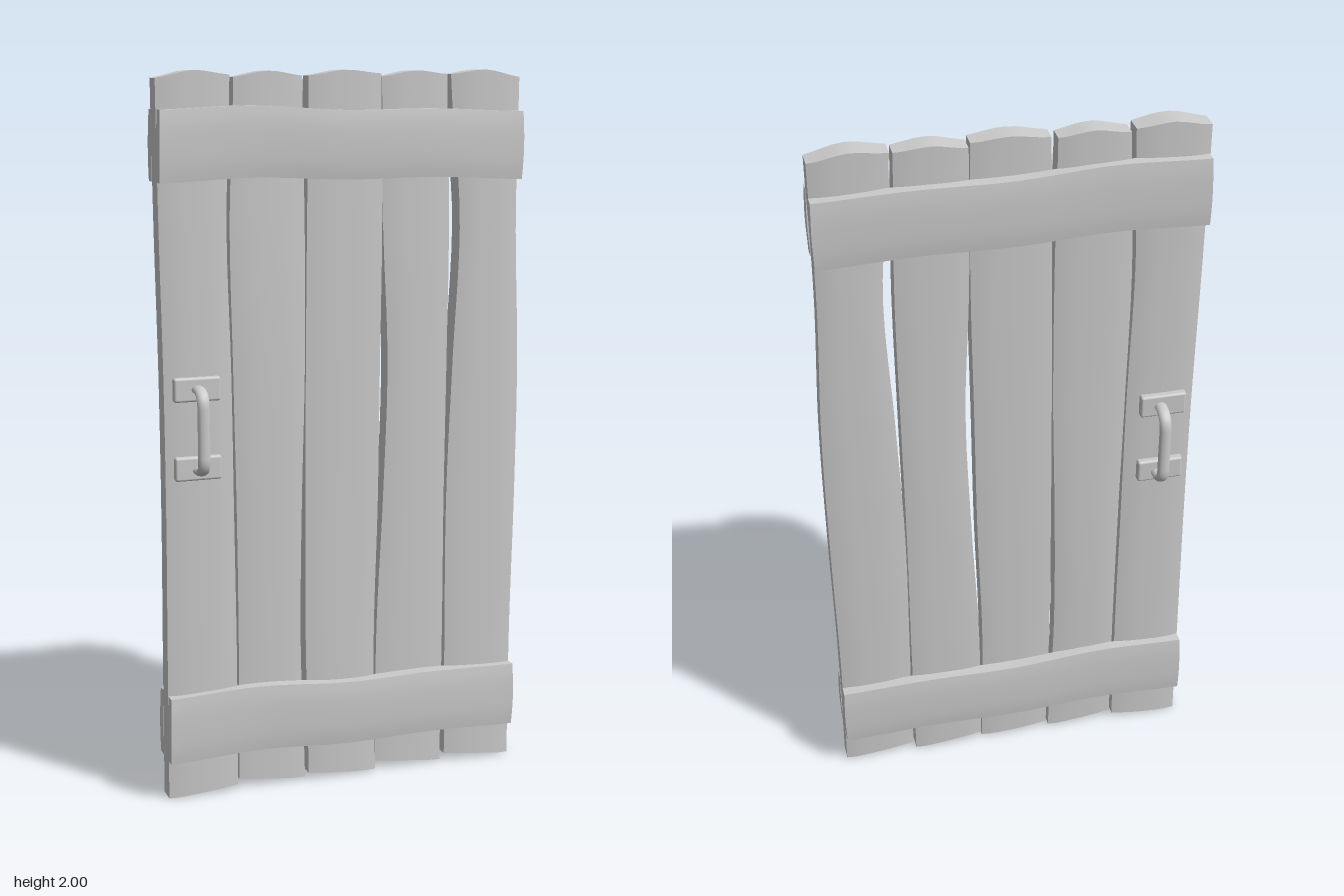
import * as THREE from 'three';
import { mergeVertices, toCreasedNormals } from 'three/addons/utils/BufferGeometryUtils.js';
import { RoundedBoxGeometry } from 'three/addons/geometries/RoundedBoxGeometry.js';

const material = new THREE.MeshStandardMaterial({ color: 0xcccccc });

// Smooth curve through evenly spaced values, sampled at t in 0..1
function profile(values) {
  const curve = new THREE.SplineCurve(values.map((v, i) => new THREE.Vector2(i, v)));
  return t => curve.getPoint(t).y;
}

function mesh(name, geometry) {
  const m = new THREE.Mesh(geometry, material);
  m.name = name;
  return m;
}

// Rough-hewn board: start/end shape its two ends, lo/hi its long edges,
// back/front its faces along the length. Faces bulge slightly across the width.
function board(name, vertical, { start, end, lo, hi, back, front }) {
  const [s, e, l, h, b, f] = [start, end, lo, hi, back, front].map(profile);
  let g = vertical ? new THREE.BoxGeometry(1, 1, 1, 8, 28, 2) : new THREE.BoxGeometry(1, 1, 1, 28, 8, 2);
  g.deleteAttribute('normal');
  g.deleteAttribute('uv');
  g = mergeVertices(g);
  const p = g.attributes.position;
  for (let i = 0; i < p.count; i++) {
    const x = p.getX(i) + 0.5, y = p.getY(i) + 0.5, z = p.getZ(i) + 0.5;
    const t = vertical ? y : x, w = vertical ? x : y;
    const along = THREE.MathUtils.lerp(s(w), e(w), t);
    const across = THREE.MathUtils.lerp(l(t), h(t), w);
    const mid = (b(t) + f(t)) / 2, thick = f(t) - b(t);
    const bulge = 1 - 0.22 * Math.abs(2 * w - 1) ** 3;
    const depth = mid + (z - 0.5) * thick * bulge;
    if (vertical) p.setXYZ(i, across, along, depth);
    else p.setXYZ(i, along, across, depth);
  }
  return mesh(name, toCreasedNormals(g, 0.8));
}

// Handle on one face: two mounting plates and a flattened, rounded grip
function handle(name, x, side) {
  const group = new THREE.Group();
  group.name = name;
  for (const y of [0.947, 1.163]) {
    const plate = mesh('handlePlate', new RoundedBoxGeometry(0.13, 0.066, 0.03, 2, 0.007));
    plate.position.set(-0.43, y, side * 0.036);
    group.add(plate);
  }
  const path = new THREE.CurvePath();
  const v = (y, z) => new THREE.Vector3(0, y, z);
  const y0 = 0.942, y1 = 1.164, z0 = 0.035, z1 = 0.107, r = 0.045;
  path.add(new THREE.LineCurve3(v(y0, z0), v(y0, z1 - r)));
  path.add(new THREE.QuadraticBezierCurve3(v(y0, z1 - r), v(y0, z1), v(y0 + r, z1)));
  path.add(new THREE.LineCurve3(v(y0 + r, z1), v(y1 - r, z1)));
  path.add(new THREE.QuadraticBezierCurve3(v(y1 - r, z1), v(y1, z1), v(y1, z1 - r)));
  path.add(new THREE.LineCurve3(v(y1, z1 - r), v(y1, z0)));
  const grip = mesh('handleGrip', new THREE.TubeGeometry(path, 60, 0.0115, 12));
  grip.scale.x = 1.5;
  grip.position.x = x;
  // The half turn keeps the winding correct on the back face
  if (side < 0) grip.rotation.y = Math.PI;
  group.add(grip);
  return group;
}

export function createModel() {
  const door = new THREE.Group();
  door.name = 'plankDoor';

  // Five upright planks with uneven edges and ends
  const planks = [
    { start: [0.005, 0.012, 0.02], end: [1.98, 2, 1.988],
      lo: [-0.525, -0.522, -0.518, -0.518, -0.523, -0.525], hi: [-0.325, -0.324, -0.327, -0.33, -0.338, -0.325],
      back: [-0.033, -0.033, -0.033], front: [0.036, 0.036, 0.036] },
    { start: [0.03, 0.02, 0.01], end: [1.982, 1.998, 1.985],
      lo: [-0.318, -0.316, -0.318, -0.324, -0.328, -0.312], hi: [-0.122, -0.134, -0.13, -0.12, -0.118, -0.122],
      back: [-0.026, -0.036, -0.036, -0.035], front: [0.024, 0.03, 0.034, 0.026] },
    { start: [0.025, 0.017, 0.01], end: [1.985, 2, 1.99],
      lo: [-0.115, -0.122, -0.121, -0.118, -0.113, -0.107], hi: [0.088, 0.083, 0.094, 0.099, 0.104, 0.1],
      back: [-0.026, -0.028, -0.026], front: [0.038, 0.036, 0.036] },
    { start: [0.03, 0.02, 0.008], end: [1.982, 1.998, 1.988],
      lo: [0.092, 0.094, 0.112, 0.124, 0.109, 0.105], hi: [0.295, 0.298, 0.298, 0.302, 0.305, 0.295],
      back: [-0.034, -0.034, -0.034], front: [0.028, 0.03, 0.028] },
    { start: [0.028, 0.018, 0.006], end: [1.988, 2, 1.98],
      lo: [0.305, 0.302, 0.302, 0.317, 0.334, 0.303], hi: [0.508, 0.508, 0.515, 0.517, 0.505, 0.508],
      back: [-0.03, -0.032, -0.032], front: [0.038, 0.04, 0.036] },
  ];
  planks.forEach((p, i) => door.add(board('plank' + (i + 1), true, p)));

  // Cross battens near the top and bottom, on both faces
  const battens = [
    { name: 'upper', lo: [1.712, 1.722, 1.712, 1.714, 1.702], hi: [1.9, 1.909, 1.895, 1.897, 1.888] },
    { name: 'lower', lo: [0.116, 0.126, 0.116, 0.119, 0.106], hi: [0.305, 0.313, 0.298, 0.3, 0.29] },
  ];
  for (const { name, lo, hi } of battens) {
    const ends = { start: [-0.525, -0.525, -0.522], end: [0.507, 0.51, 0.508], lo, hi };
    door.add(board(name + 'FrontBatten', false,
      { ...ends, back: [0.022, 0.022, 0.022], front: [0.064, 0.064, 0.074, 0.074, 0.064] }));
    door.add(board(name + 'BackBatten', false,
      { ...ends, back: [-0.061, -0.062, -0.066, -0.065, -0.061], front: [-0.022, -0.022, -0.022] }));
  }

  // Handles
  door.add(handle('frontHandle', -0.43, 1));
  door.add(handle('backHandle', -0.42, -1));
  return door;
}
